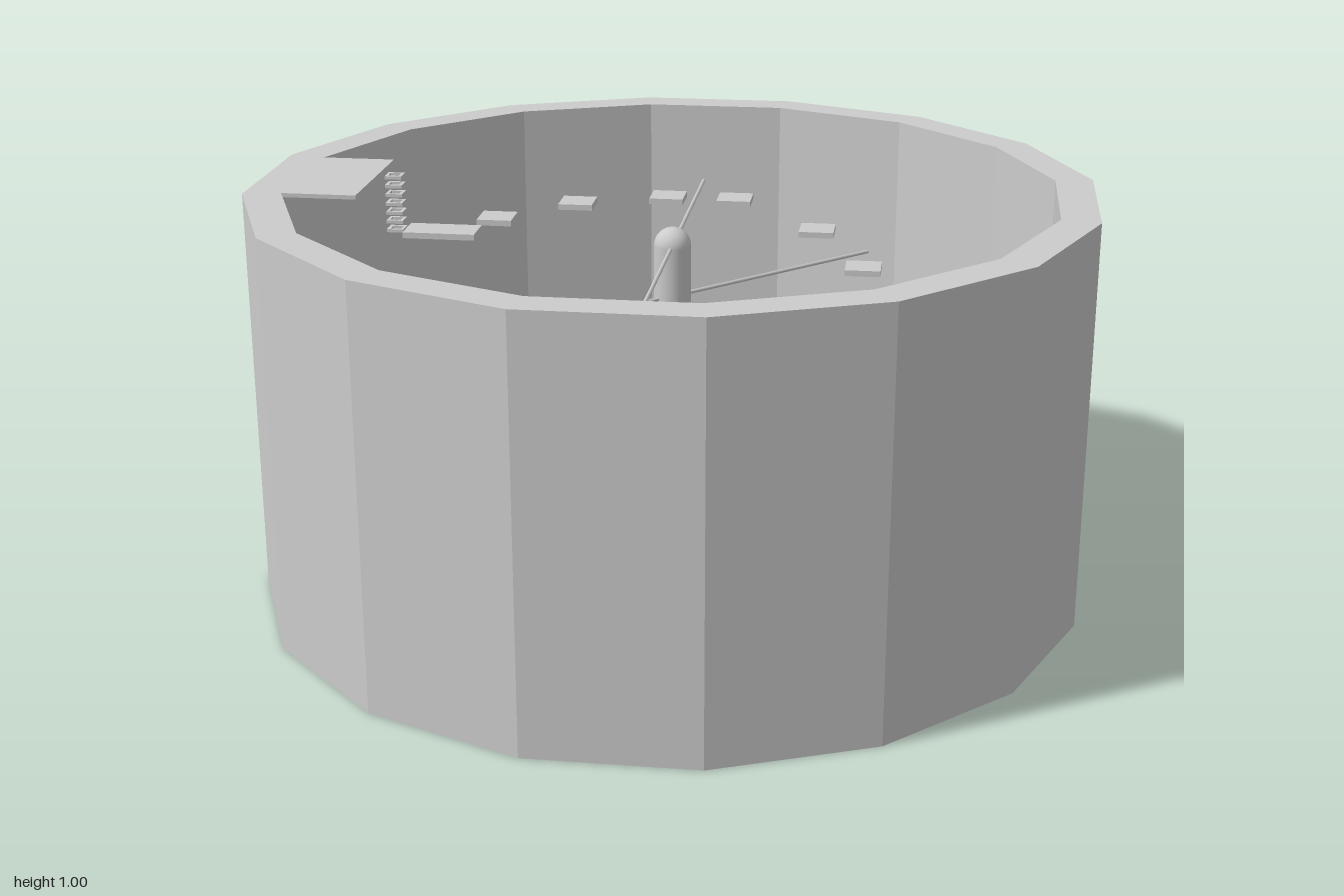
import * as THREE from 'three';

export function createModel() {
  const root = new THREE.Group();
  const stone = new THREE.MeshStandardMaterial({ color: 0xcccccc });
  stone.name = 'pale grey';

  const add = (name, geometry, x = 0, y = 0, z = 0) => {
    const mesh = new THREE.Mesh(geometry, stone);
    mesh.name = name;
    mesh.position.set(x, y, z);
    root.add(mesh);
    return mesh;
  };
  // Box placed by its top face
  const slab = (name, w, h, d, x, top, z) =>
    add(name, new THREE.BoxGeometry(w, h, d), x, top - h / 2, z);
  // Flat outline drawn in x and z, hanging down from its own y = 0
  const plate = (shape, depth, curveSegments = 32) =>
    new THREE.ExtrudeGeometry(shape, { depth, bevelEnabled: false, curveSegments }).rotateX(Math.PI / 2);

  // Sixteen-sided open wall
  const polygon = (apothem) => Array.from({ length: 16 }, (_, i) => {
    const a = (i + 0.5) * Math.PI / 8;
    const r = apothem / Math.cos(Math.PI / 16);
    return new THREE.Vector2(r * Math.cos(a), r * Math.sin(a));
  });
  const wall = new THREE.Shape(polygon(1));
  wall.holes.push(new THREE.Path(polygon(0.91)));
  add('outerWall', plate(wall, 1), 0, 1, 0);

  // Landings at the top exit and the bottom entrance
  slab('topLanding', 0.27, 0.01, 0.36, -0.865, 1, 0);
  slab('bottomLanding', 0.18, 0.01, 0.36, 0.82, 0.01, 0);
  slab('entranceDoor', 0.006, 0.2, 0.24, 0.906, 0.21, 0);

  // Central column with rounded ends
  add('column', new THREE.CapsuleGeometry(0.045, 0.72, 10, 24), 0, 0.495, 0);

  // Rods through the column, each turned 45 degrees from the last
  for (let i = 0; i < 5; i++) {
    const rod = add('rod', new THREE.CylinderGeometry(0.005, 0.005, 1.28, 8).rotateX(Math.PI / 2),
      0, 0.343 + i * 0.128, 0);
    rod.rotation.y = Math.PI - i * Math.PI / 4;
    rod.rotation.y *= -1;
  }

  // Stepping stones: x, z, upper height; a level flight lies below
  const stones = [
    [-0.5, -0.32, 0.825], [-0.32, -0.5, 0.825], [-0.09, -0.59, 0.825], [0.09, -0.59, 0.825],
    [0.32, -0.455, 0.785], [0.45, -0.275, 0.74], [0.545, -0.09, 0.695],
  ];
  const size = 0.09;
  const thick = 0.015;
  for (const [x, z, top] of stones) {
    slab('upperStep', size, thick, size, x, top, z);
    slab('lowerStep', size, thick, size, x, 0.255, z);
  }
  slab('lowerStep', size, thick, size, -0.545, 0.255, -0.09);
  slab('longStep', 0.18, thick, size, -0.59, 0.85, -0.09);
  slab('leftRest', size, thick, size, -0.685, 0.565, 0);
  slab('rightRest', size, thick, size, 0.685, 0.7, 0.045);
  slab('rightLowerRest', size, thick, size, 0.685, 0.255, -0.045);

  // Curved half-ring walkway with short straight ends
  const walk = new THREE.Shape();
  walk.moveTo(0.545, -0.05);
  walk.lineTo(0.545, 0.045);
  walk.absarc(0, 0.045, 0.545, 0, Math.PI, false);
  walk.lineTo(-0.545, -0.05);
  walk.lineTo(-0.503, -0.05);
  walk.lineTo(-0.503, 0.045);
  walk.absarc(0, 0.045, 0.503, Math.PI, 0, true);
  walk.lineTo(0.503, -0.05);
  add('curvedWalkway', plate(walk, 0.015), 0, 0.56, 0);

  // Ladders made of stacked square frames
  const square = (h) => [[-h, -h], [h, -h], [h, h], [-h, h]].map(([x, y]) => new THREE.Vector2(x, y));
  const frame = new THREE.Shape(square(0.021));
  frame.holes.push(new THREE.Path(square(0.013)));
  const rung = plate(frame, 0.008);
  const ladder = (x, z, bottom, top) => {
    const count = Math.round((top - bottom) / 0.022);
    for (let i = 0; i <= count; i++) {
      add('ladderRung', rung, x, bottom + (top - bottom) * i / count, z);
    }
  };
  ladder(-0.705, -0.09, 0.85, 0.985);
  ladder(-0.705, -0.09, 0.29, 0.55);
  ladder(0.705, -0.12, 0.03, 0.25);
  ladder(0.705, -0.03, 0.54, 0.7);

  return root;
}
